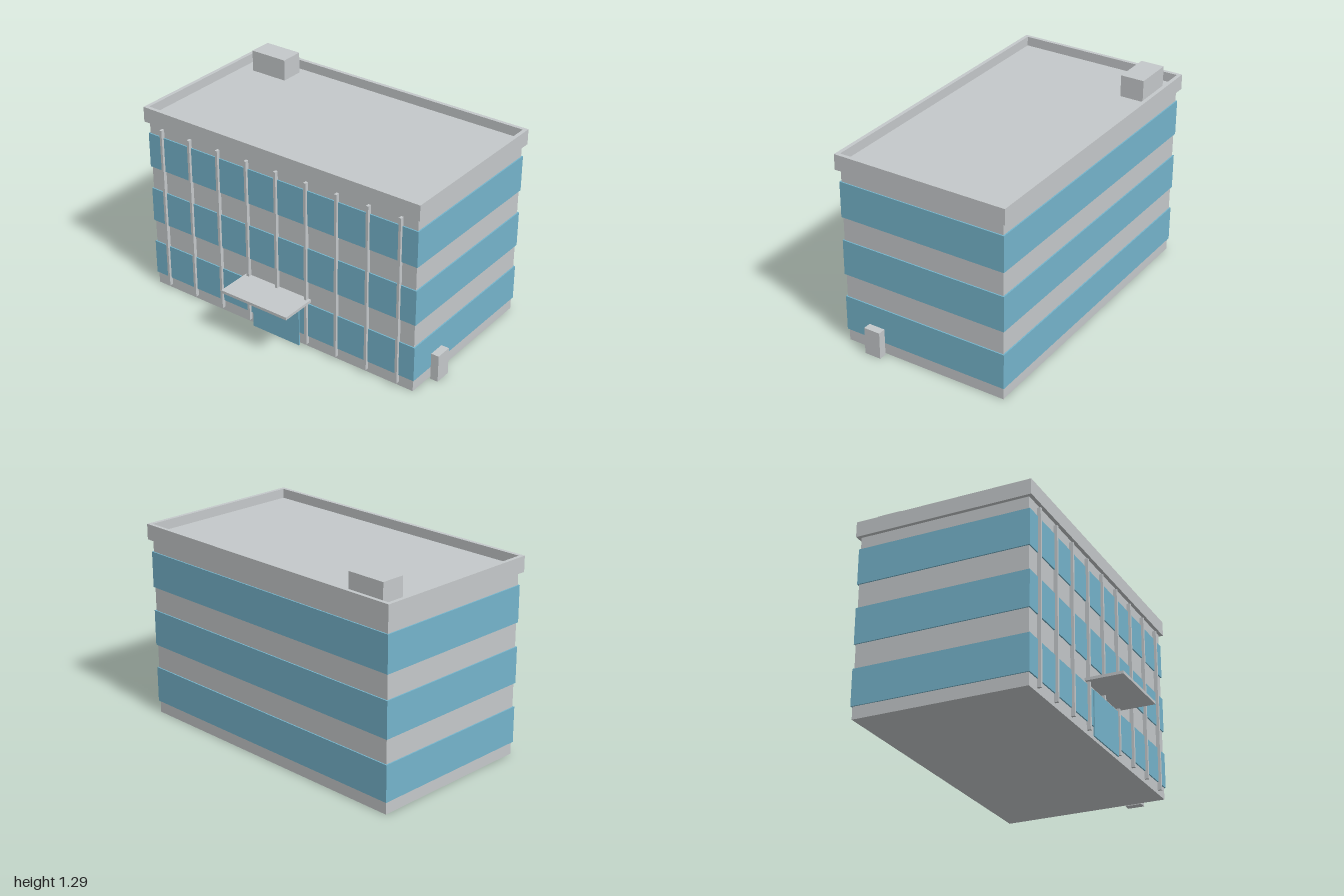
import * as THREE from 'three';

export function createModel() {
  const building = new THREE.Group();
  building.name = 'officeBuilding';

  const concrete = new THREE.MeshStandardMaterial({ color: 0xc4c8ca });
  concrete.name = 'paleConcrete';
  const glass = new THREE.MeshStandardMaterial({ color: 0x75b4cb });
  glass.name = 'blueGlass';

  // Box given by its limits on each axis
  function block(name, material, [x0, x1], [y0, y1], [z0, z1]) {
    const mesh = new THREE.Mesh(new THREE.BoxGeometry(x1 - x0, y1 - y0, z1 - z0), material);
    mesh.position.set((x0 + x1) / 2, (y0 + y1) / 2, (z0 + z1) / 2);
    mesh.name = name;
    building.add(mesh);
  }

  // Main volume, its top being the roof deck
  block('body', concrete, [-0.977, 0.937], [0, 1.16], [-0.637, 0.425]);

  // Ribbon windows wrapping each storey
  for (let i = 0; i < 3; i++) {
    const y = 0.076 + i * 0.373;
    block('windowBand' + (i + 1), glass, [-0.985, 0.945], [y, y + 0.224], [-0.645, 0.433]);
  }

  // Parapet ring around the roof
  const rect = (path, x0, x1, y0, y1) =>
    path.moveTo(x0, y0).lineTo(x1, y0).lineTo(x1, y1).lineTo(x0, y1).closePath();
  const ring = new THREE.Shape();
  rect(ring, -1, 0.96, -0.448, 0.66);
  const opening = new THREE.Path();
  rect(opening, -0.976, 0.936, -0.424, 0.636);
  ring.holes.push(opening);
  const ringGeometry = new THREE.ExtrudeGeometry(ring, { depth: 0.096, bevelEnabled: false });
  ringGeometry.rotateX(-Math.PI / 2);
  const parapet = new THREE.Mesh(ringGeometry, concrete);
  parapet.position.y = 1.123;
  parapet.name = 'parapet';
  building.add(parapet);

  // Rooftop plant box
  block('roofUnit', concrete, [-0.893, -0.642], [1.15, 1.295], [-0.587, -0.437]);

  // Vertical fins on the front
  for (let i = 0; i < 9; i++) {
    const x = -0.02 + (i - 4) * 0.2135;
    block('fin' + (i + 1), concrete, [x - 0.008, x + 0.008], [0.025, 1.1], [0.424, 0.449]);
  }

  // Entrance and canopy
  block('entranceDoor', glass, [-0.195, 0.15], [0, 0.28], [0.446, 0.454]);
  block('canopy', concrete, [-0.26, 0.22], [0.315, 0.333], [0.42, 0.66]);

  // Utility cabinet beside the left wall
  block('utilityCabinet', concrete, [0.95, 1], [0, 0.173], [0.16, 0.266]);

  return building;
}
